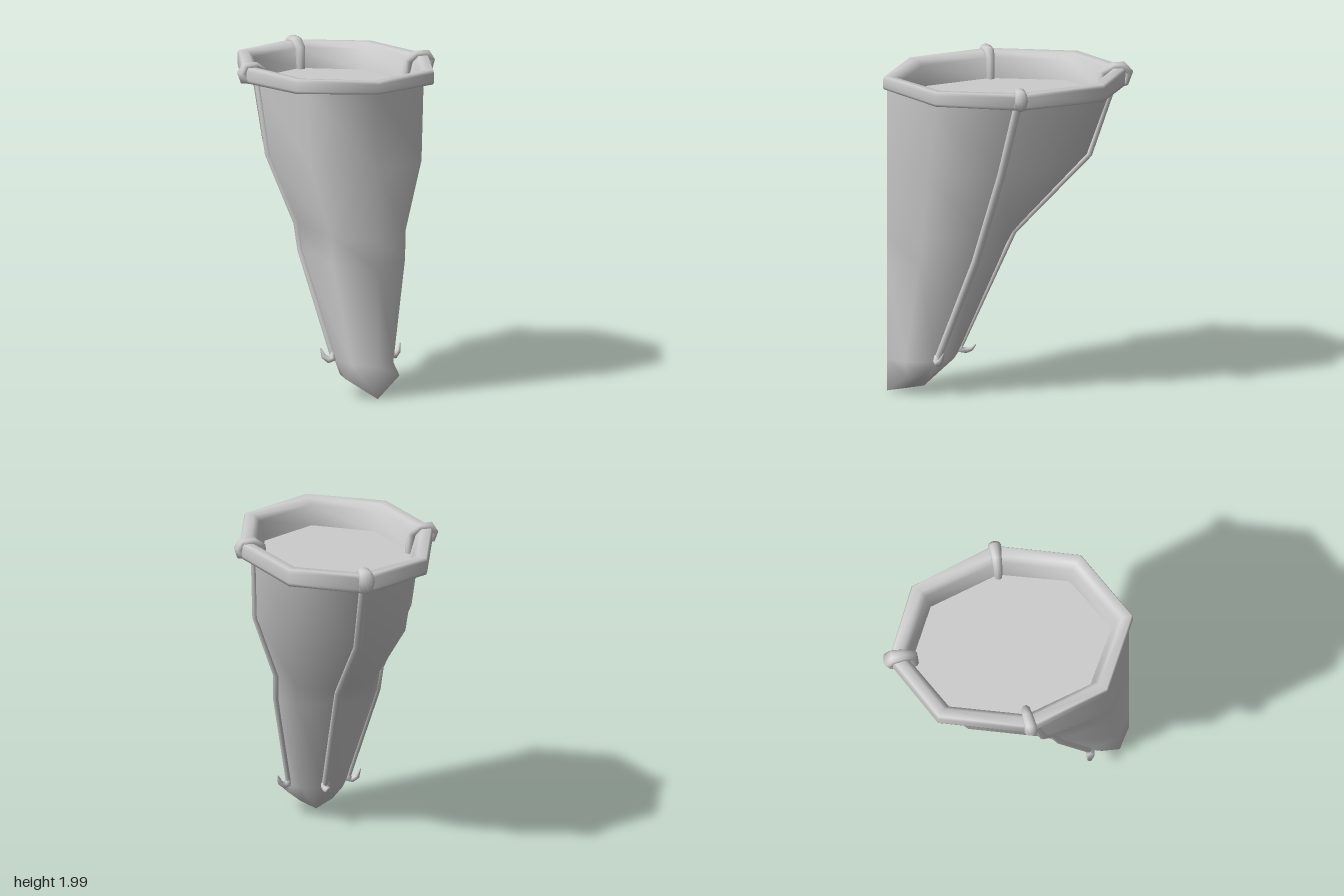
import * as THREE from 'three';

const material = new THREE.MeshStandardMaterial({ color: 0xcccccc, side: THREE.DoubleSide });

function makeMesh(name, positions, index) {
  const geometry = new THREE.BufferGeometry();
  geometry.setAttribute('position', new THREE.Float32BufferAttribute(positions, 3));
  geometry.setIndex(index);
  geometry.computeVertexNormals();
  const mesh = new THREE.Mesh(geometry, material);
  mesh.name = name;
  return mesh;
}

// Joins rings of [x, y, z] points; optional centre points close the two ends.
function loft(name, rings, startCap, endCap) {
  const n = rings[0].length, positions = rings.flat(2), index = [];
  for (let r = 0; r < rings.length - 1; r++) {
    for (let i = 0; i < n; i++) {
      const j = (i + 1) % n, a = r * n + i, b = r * n + j, c = a + n, d = b + n;
      index.push(a, b, c, b, d, c);
    }
  }
  for (const [cap, base, flip] of [[startCap, 0, true], [endCap, (rings.length - 1) * n, false]]) {
    if (!cap) continue;
    const k = positions.length / 3;
    positions.push(...cap);
    for (let i = 0; i < n; i++) {
      const a = base + i, b = base + (i + 1) % n;
      index.push(...(flip ? [k, b, a] : [k, a, b]));
    }
  }
  return makeMesh(name, positions, index);
}

// Sweeps an ellipse along a bent path; rows are [x, y, z, thickness, width].
function sweep(name, rows, side, sides = 10) {
  const pts = rows.map(([x, y, z]) => new THREE.Vector3(x, y, z));
  const rings = pts.map((p, i) => {
    const before = p.clone().sub(pts[Math.max(i - 1, 0)]).normalize();
    const after = pts[Math.min(i + 1, pts.length - 1)].clone().sub(p).normalize();
    const tangent = before.clone().add(after).normalize();
    const across = side.clone().addScaledVector(tangent, -side.dot(tangent)).normalize();
    const normal = tangent.clone().cross(across);
    const [, , , thick, wide = thick] = rows[i];
    return Array.from({ length: sides }, (_, k) => {
      const a = (k / sides) * Math.PI * 2;
      return p.clone().addScaledVector(across, Math.cos(a) * wide)
        .addScaledVector(normal, Math.sin(a) * thick).toArray();
    });
  });
  return loft(name, rings, pts[0].toArray(), pts[pts.length - 1].toArray());
}

// Eight-cornered ring with a point at the front and another at the back.
function octagon({ front, side, back, halfWidth, yFront, ySide, yBack }) {
  const mix = THREE.MathUtils.lerp;
  const fd = [halfWidth * 0.74, mix(ySide, yFront, 0.5), mix(side, front, 0.68)];
  const bd = [halfWidth * 0.72, mix(ySide, yBack, 0.5), mix(side, back, 0.71)];
  const mirror = ([x, y, z]) => [-x, y, z];
  return [
    [0, yFront, front], fd, [halfWidth, ySide, side], bd,
    [0, yBack, back], mirror(bd), [-halfWidth, ySide, side], mirror(fd),
  ];
}

export function createModel() {
  const group = new THREE.Group();

  // Tapering body: halfWidth, side z, back z, then the front, side and back heights
  const sections = [
    [0.52, 0.03, -0.66, 1.91, 1.9, 1.88],
    [0.485, 0.13, -0.49, 1.4, 1.44, 1.43],
    [0.33, 0.215, -0.03, 0.97, 1.02, 0.965],
    [0.32, 0.26, 0.02, 0.8, 0.86, 0.87],
    [0.18, 0.48, 0.31, 0.2, 0.21, 0.22],
  ].map(([halfWidth, side, back, yFront, ySide, yBack]) =>
    octagon({ front: 0.75, side, back, halfWidth, yFront, ySide, yBack }));
  // Keel-shaped foot
  const foot = [
    [0, 0, 0.75], [0.175, 0.12, 0.66], [0.17, 0.13, 0.55], [0.1, 0.08, 0.51],
    [0, 0.02, 0.52], [-0.1, 0.08, 0.51], [-0.17, 0.13, 0.55], [-0.175, 0.12, 0.66],
  ];
  const downward = [...sections, foot];
  group.add(loft('body', downward.reverse(), [0, 0.01, 0.63], null));

  // Rim: t runs from the inner edge (0) to the outer edge (1)
  const rimRing = (t, yf, yb) => octagon({
    front: 0.64 + 0.135 * t, side: 0.025, back: -0.595 - 0.14 * t,
    halfWidth: 0.465 + 0.14 * t, yFront: yf, ySide: (yf + yb) / 2, yBack: yb,
  });
  const inner = rimRing(0, 1.81, 1.81);
  group.add(loft('rim', [
    rimRing(0.6, 1.885, 1.85), rimRing(0.95, 1.89, 1.85), rimRing(1, 1.905, 1.875),
    rimRing(1, 1.95, 1.945), rimRing(0.93, 1.97, 1.965), rimRing(0.5, 1.965, 1.965),
    rimRing(0.25, 1.93, 1.93), inner,
  ]));
  // Flat surface inside the rim
  const fill = loft('innerFloor', [inner], null, [0, 1.81, 0.025]);
  group.add(fill);

  // Clip over the rim, rib down the body and hook at the foot
  function addStrap(label, side, clip, rib, hook) {
    const strap = new THREE.Group();
    strap.name = label + 'Strap';
    strap.add(sweep('clip', clip, side), sweep('rib', rib, side, 8), sweep('hook', hook, side, 8));
    group.add(strap);
  }

  for (const s of [1, -1]) {
    addStrap(s > 0 ? 'left' : 'right', new THREE.Vector3(0, 0, 1), [
      [s * 0.455, 1.8, 0.025, 0.025, 0.025], [s * 0.47, 1.93, 0.025, 0.03, 0.028],
      [s * 0.52, 1.968, 0.025, 0.026, 0.033], [s * 0.59, 1.966, 0.03, 0.03, 0.038],
      [s * 0.612, 1.93, 0.03, 0.028, 0.04], [s * 0.6, 1.89, 0.035, 0.028, 0.038],
      [s * 0.525, 1.885, 0.035, 0.025, 0.03],
    ], [
      [s * 0.515, 1.9, 0.03, 0.02, 0.026], [s * 0.48, 1.44, 0.13, 0.02, 0.025],
      [s * 0.327, 1.02, 0.215, 0.02, 0.025], [s * 0.318, 0.86, 0.26, 0.02, 0.025],
      [s * 0.186, 0.23, 0.47, 0.018, 0.022],
    ], [
      [s * 0.186, 0.25, 0.465, 0.02, 0.025], [s * 0.19, 0.215, 0.474, 0.022, 0.026],
      [s * 0.215, 0.208, 0.472, 0.02, 0.024], [s * 0.242, 0.23, 0.46, 0.016, 0.018],
      [s * 0.258, 0.28, 0.445, 0.004, 0.006],
    ]);
  }
  addStrap('back', new THREE.Vector3(1, 0, 0), [
    [0, 1.8, -0.575, 0.025, 0.028], [0, 1.93, -0.585, 0.032, 0.032],
    [0, 1.968, -0.65, 0.026, 0.038], [0, 1.966, -0.71, 0.03, 0.046],
    [0, 1.93, -0.742, 0.03, 0.05], [0, 1.87, -0.722, 0.026, 0.042],
    [0, 1.85, -0.66, 0.025, 0.032],
  ], [
    [0, 1.9, -0.665, 0.02, 0.026], [0, 1.425, -0.5, 0.02, 0.025],
    [0, 0.965, -0.033, 0.02, 0.025], [0, 0.25, 0.3, 0.018, 0.022],
  ], [
    [0, 0.27, 0.295, 0.02, 0.025], [0, 0.237, 0.298, 0.022, 0.026],
    [0, 0.23, 0.26, 0.019, 0.024], [0, 0.237, 0.228, 0.014, 0.018],
    [0, 0.265, 0.2, 0.004, 0.006],
  ]);
  return group;
}
